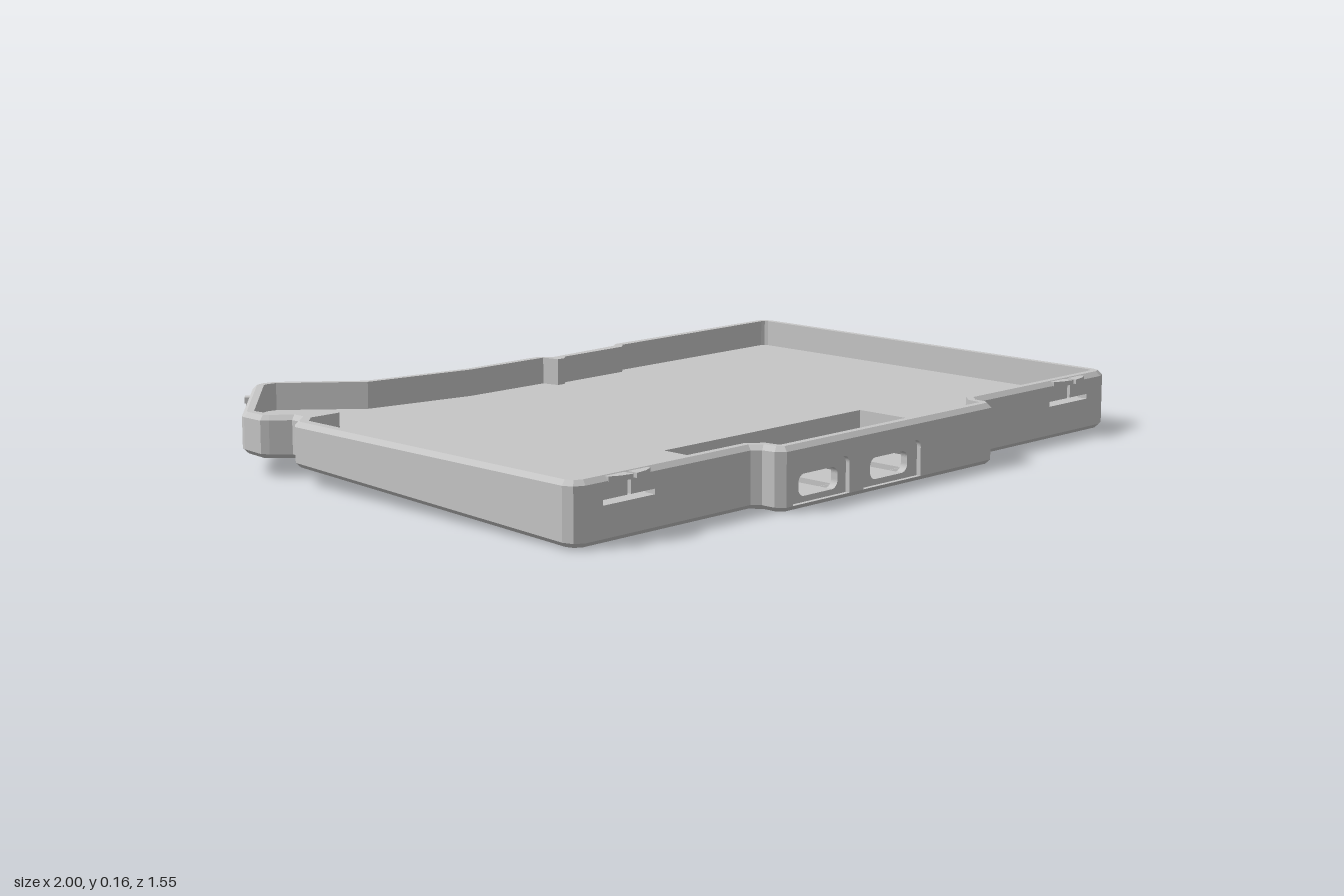
import * as THREE from 'three';

const TOP = 0.157, FLOOR = 0.085, POCKET = 0.035, PAD = 0.022, CH = 0.012, WALL = 0.03;
// The underside rises towards the back
const under = z => Math.max(0, (0.758 - z) * 0.042);

// Outer outline as [x, z, optional inner x, inner z], anticlockwise seen from above
const OUTLINE = [
  [-0.955, 0.697], [-0.92, 0.697], [-0.72, 0.697], [-0.42, 0.697], [-0.4, 0.715], [-0.395, 0.75],
  [-0.375, 0.77], [0.395, 0.77], [0.415, 0.75], [0.418, 0.715], [0.435, 0.697],
  [0.72, 0.697], [0.92, 0.697], [0.96, 0.697], [0.986, 0.685], [0.997, 0.66],
  [1, -0.52], [0.99, -0.545], [0.965, -0.56],
  [0.36, -0.56, 0.37, -0.525], [0.34, -0.542, 0.345, -0.502], [0.13, -0.53, 0.12, -0.498],
  [0.1, -0.528, 0.1, -0.48], [0.085, -0.54, 0.075, -0.48], [0.07, -0.56, 0.065, -0.528],
  [-0.2, -0.56], [-0.5, -0.612], [-0.68, -0.77], [-0.72, -0.776], [-0.75, -0.767],
  [-0.995, -0.49], [-1, -0.475], [-1, -0.41, -0.965, -0.425], [-0.985, -0.395, -0.93, -0.405],
  [-0.94, -0.36, -0.835, -0.33], [-0.94, -0.335, -0.835, -0.305],
  [-0.975, -0.305, -0.925, -0.305], [-0.99, -0.285, -0.955, -0.275],
  [-0.993, 0.66], [-0.982, 0.685],
];
const PANELS = [1, 6, 11]; // outline edges filled by pierced panels

// Mitred inward offset of the outline
function inset(d) {
  const n = OUTLINE.length;
  const normal = (a, b) => new THREE.Vector2(a[1] - b[1], b[0] - a[0]).normalize();
  return OUTLINE.map((p, i) => {
    const n1 = normal(OUTLINE[(i + n - 1) % n], p), n2 = normal(p, OUTLINE[(i + 1) % n]);
    const k = d / Math.max(0.4, 1 + n1.dot(n2));
    return [p[0] - (n1.x + n2.x) * k, p[1] - (n1.y + n2.y) * k];
  });
}

// Wall: a chamfered section carried round the outline
function wallGeometry(outer, slim, inner) {
  const rings = [
    [slim, z => under(z)], [outer, z => under(z) + CH], [outer, () => TOP - CH],
    [slim, () => TOP], [inner, () => TOP], [inner, () => TOP - CH], [inner, () => FLOOR],
  ].map(([pts, y]) => pts.map(([x, z]) => [x, y(z), z]));
  const pos = [], n = outer.length;
  for (let r = 0; r < rings.length - 1; r++) {
    for (let i = 0; i < n; i++) {
      if ((r === 1 || r === 5) && PANELS.includes(i)) continue;
      const j = (i + 1) % n;
      const a = rings[r][i], b = rings[r][j], c = rings[r + 1][j], d = rings[r + 1][i];
      pos.push(...a, ...b, ...c, ...a, ...c, ...d);
    }
  }
  const g = new THREE.BufferGeometry();
  g.setAttribute('position', new THREE.Float32BufferAttribute(pos, 3));
  g.computeVertexNormals();
  return g;
}

const rect = (x0, x1, z0, z1) => [[x0, z1], [x1, z1], [x1, z0], [x0, z0]];

// Flat sheet in plan with holes, its height given by z
function sheet(pts, holes, height, flip = false) {
  const v = list => list.map(([x, z]) => new THREE.Vector2(x, -z));
  const s = new THREE.Shape(v(pts));
  holes.forEach(h => s.holes.push(new THREE.Path(v(h).reverse())));
  const g = new THREE.ShapeGeometry(s).rotateX(-Math.PI / 2);
  const p = g.attributes.position;
  for (let i = 0; i < p.count; i++) p.setY(i, height(p.getZ(i)));
  if (flip) g.setIndex(Array.from(g.index.array).reverse());
  g.computeVertexNormals();
  return g;
}

// Upright sides of a rectangular recess, facing inwards
function recessSides(x0, x1, z0, z1, y0, y1, openFront) {
  const c = rect(x0, x1, z0, z1), pos = [];
  for (let i = openFront ? 1 : 0; i < 4; i++) {
    const [ax, az] = c[i], [bx, bz] = c[(i + 1) % 4];
    pos.push(bx, y0, bz, ax, y0, az, ax, y1, az, bx, y0, bz, ax, y1, az, bx, y1, bz);
  }
  const g = new THREE.BufferGeometry();
  g.setAttribute('position', new THREE.Float32BufferAttribute(pos, 3));
  g.computeVertexNormals();
  return g;
}

// Rectangle with rounded top corners, and rounded or square bottom corners
function roundRect(x0, x1, y0, y1, r, squareBottom = false) {
  const p = new THREE.Path();
  p.absarc(x1 - r, y1 - r, r, 0, Math.PI / 2);
  p.absarc(x0 + r, y1 - r, r, Math.PI / 2, Math.PI);
  if (squareBottom) {
    p.lineTo(x0, y0);
    p.lineTo(x1, y0);
  } else {
    p.absarc(x0 + r, y0 + r, r, Math.PI, Math.PI * 1.5);
    p.absarc(x1 - r, y0 + r, r, Math.PI * 1.5, Math.PI * 2);
  }
  p.closePath();
  return p;
}

// Upright panel with holes, from z0 to z1
function panel(x0, x1, z0, z1, holes) {
  const y0 = under(z1) + CH, y1 = TOP - CH;
  const s = new THREE.Shape([[x0, y0], [x1, y0], [x1, y1], [x0, y1]].map(p => new THREE.Vector2(...p)));
  s.holes.push(...holes);
  return new THREE.ExtrudeGeometry(s, { depth: z1 - z0, bevelEnabled: false, curveSegments: 5 }).translate(0, 0, z0);
}

export function createModel() {
  const model = new THREE.Group();
  const grey = new THREE.MeshStandardMaterial({ color: 0xc6c6c6 });
  grey.name = 'light grey plastic';
  const add = (name, geometry) => {
    const m = new THREE.Mesh(geometry, grey);
    m.name = name;
    model.add(m);
    return m;
  };

  // Tray shell
  const outer = OUTLINE.map(p => [p[0], p[1]]), slim = inset(CH);
  const inner = inset(WALL).map((p, i) => (OUTLINE[i].length > 2 ? OUTLINE[i].slice(2) : p));
  const pocket = [-0.355, 0.38, 0.35, 0.7395];
  add('wall', wallGeometry(outer, slim, inner));
  add('underside', sheet(slim, [], under, true));
  add('floor', sheet(inner, [rect(...pocket)], () => FLOOR));

  // Sunken pocket with three shallow pads
  const pads = [[-0.325, -0.18], [-0.06, 0.08], [0.2, 0.34]].map(([a, b]) => [a, b, 0.615, 0.738]);
  add('pocketSides', recessSides(...pocket, POCKET, FLOOR, true));
  add('pocketFloor', sheet(rect(-0.355, 0.38, 0.35, 0.74), pads.map(p => rect(...p)), () => POCKET));
  for (const p of pads) {
    add('padSides', recessSides(...p, PAD, POCKET, false));
    add('padFloor', sheet(rect(...p), [], () => PAD));
  }

  // Front panel: two ports, each in a shallow outer recess
  add('portFace', panel(-0.375, 0.395, 0.758, 0.77, [
    roundRect(-0.352, -0.15, 0.0125, 0.105, 0.02, true), roundRect(-0.097, 0.117, 0.0125, 0.105, 0.02, true)]));
  add('portWall', panel(-0.375, 0.395, 0.738, 0.758, [
    roundRect(-0.32, -0.18, 0.027, 0.081, 0.02), roundRect(-0.06, 0.08, 0.027, 0.081, 0.02)]));

  // Snap catches either side of the ports
  for (const s of [-1, 1]) {
    const x = s * 0.82;
    const slot = new THREE.Path([[-0.082, 0.091], [0.082, 0.091], [0.082, 0.104], [0.006, 0.104],
      [0.006, 0.143], [-0.006, 0.143], [-0.006, 0.104], [-0.082, 0.104]]
      .map(([a, b]) => new THREE.Vector2(x + a, b)));
    add('catchPanel', panel(x - 0.1, x + 0.1, 0.667, 0.697, [slot]));
    for (const h of [-1, 1]) {
      add('catchBacking', new THREE.BoxGeometry(0.076, 0.046, 0.016).translate(x + h * 0.044, 0.128, 0.66));
      const lens = new THREE.Shape([[0.006, -0.685], [0.068, -0.685], [0.066, -0.698], [0.04, -0.71], [0.006, -0.716]]
        .map(([a, b]) => new THREE.Vector2(x + h * a, b)));
      add('catchRidge', new THREE.ExtrudeGeometry(lens, { depth: 0.012, bevelEnabled: false })
        .rotateX(-Math.PI / 2).translate(0, 0.143, 0));
    }
  }

  // Small locating nubs on the back edges, each above a slim rib
  for (const [x, z, turn] of [[0.82, -0.565, 0], [-0.82, -0.692, 0.852]]) {
    const nub = add('backNub', new THREE.BoxGeometry(0.026, 0.016, 0.02));
    const rib = add('backRib', new THREE.BoxGeometry(0.008, 0.05, 0.014));
    nub.position.set(x, 0.137, z);
    rib.position.set(x, 0.11, z);
    nub.rotation.y = rib.rotation.y = turn;
  }

  return model;
}
